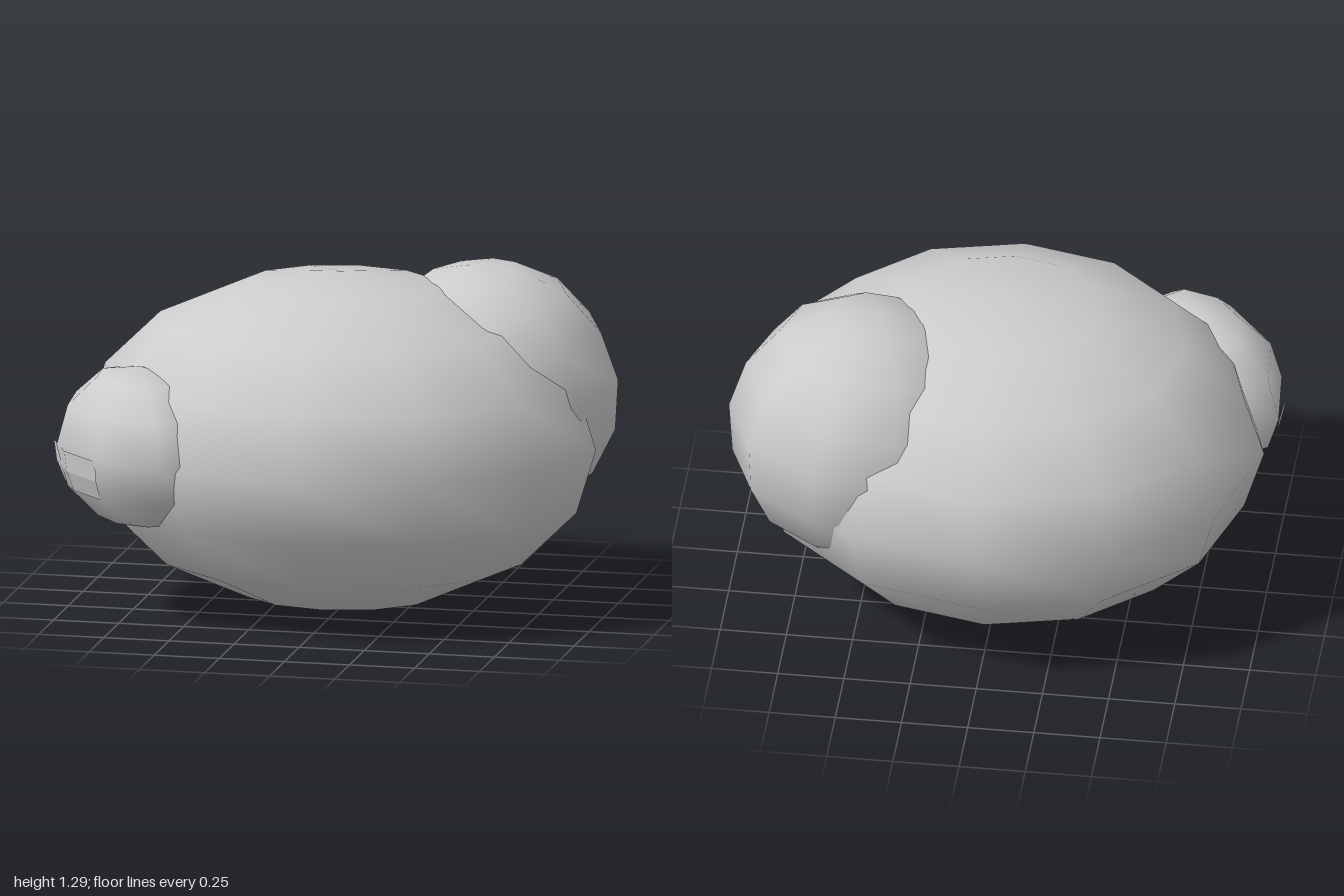
import * as THREE from 'three';

export function createModel() {
  const model = new THREE.Group();
  model.name = 'boulder';
  const stone = new THREE.MeshStandardMaterial({ color: 0xcccccc });
  stone.name = 'stoneGrey';

  // Adds one stretched, coarse ball
  function lump(name, geometry, position, radii, rotation = [0, 0, 0]) {
    const mesh = new THREE.Mesh(geometry, stone);
    mesh.name = name;
    mesh.position.set(...position);
    mesh.scale.set(...radii);
    mesh.rotation.set(...rotation);
    model.add(mesh);
    return mesh;
  }

  // Main rock, twelve sides round
  lump('mainRock', new THREE.SphereGeometry(1, 12, 8), [-0.01, 0.645, 0], [0.98, 0.64, 0.845]);

  // Large lump on the upper back left shoulder
  lump('shoulderLump', new THREE.SphereGeometry(1, 10, 8), [0.5, 0.8, -0.22],
    [0.505, 0.5, 0.505], [0.1, 0.06, 0.12]);

  // Small lump on the front right side, long axis along the main rock's surface
  const place = [-0.69, 0.67, 0.42], radii = [0.42, 0.308, 0.287], turn = [0, -0.885, 0];
  lump('sideLump', new THREE.SphereGeometry(1, 8, 6, Math.PI / 8), place, radii, turn);

  // Two flat facets just below the small lump's middle
  const facets = new THREE.SphereGeometry(1.004, 2, 1, Math.PI / 8, Math.PI / 2, Math.PI / 2, Math.PI / 6).toNonIndexed();
  facets.computeVertexNormals();
  lump('sideLumpFacets', facets, place, radii, turn);

  return model;
}
